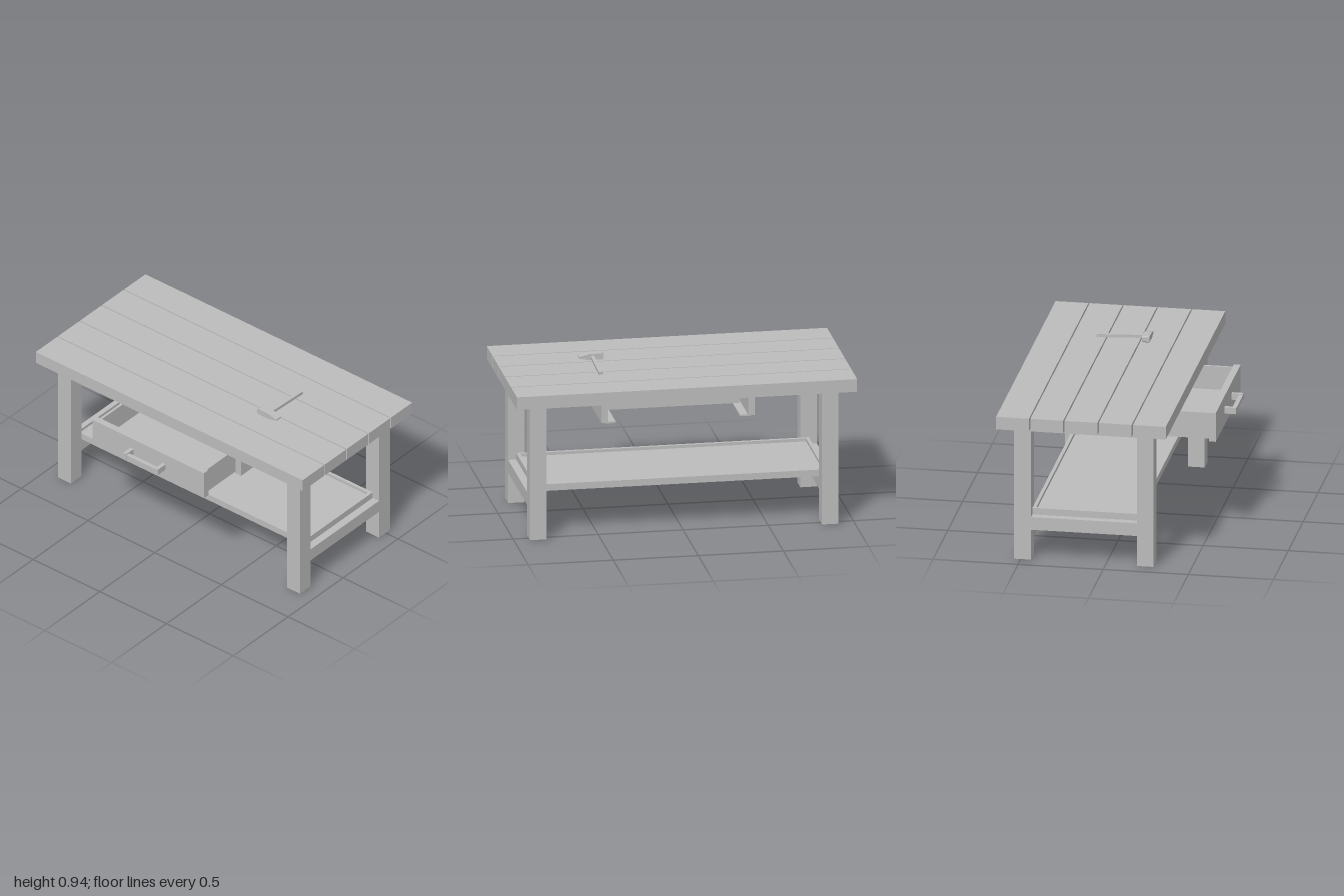
import * as THREE from 'three';

export function createModel() {
  const model = new THREE.Group();
  model.name = 'workbench';
  const grey = new THREE.MeshStandardMaterial({ color: 0xbcbcbc });
  grey.name = 'plain grey';

  // Box given by its limits on each axis
  function box(name, x0, x1, y0, y1, z0, z1, parent = model) {
    const mesh = new THREE.Mesh(new THREE.BoxGeometry(x1 - x0, y1 - y0, z1 - z0), grey);
    mesh.position.set((x0 + x1) / 2, (y0 + y1) / 2, (z0 + z1) / 2);
    mesh.name = name;
    parent.add(mesh);
    return mesh;
  }
  // Same box on both sides of x = 0
  function pair(name, x0, x1, y0, y1, z0, z1, parent = model) {
    box(name + 'Left', x0, x1, y0, y1, z0, z1, parent);
    box(name + 'Right', -x1, -x0, y0, y1, z0, z1, parent);
  }

  // Five top planks with narrow gaps
  for (let i = 0; i < 5; i++) {
    const z = 0.368 - i * 0.201;
    box('topPlank' + (i + 1), -1, 1, 0.823, 0.9, z - 0.193, z);
  }

  // Legs and the side rails joining them
  pair('frontLeg', 0.81, 0.907, 0, 0.823, 0.182, 0.28);
  pair('backLeg', 0.81, 0.907, 0, 0.823, -0.54, -0.44);
  pair('sideRail', 0.81, 0.907, 0.184, 0.262, -0.44, 0.182);

  // Tray shelf with a low rim
  const shelf = new THREE.Group();
  shelf.name = 'shelf';
  model.add(shelf);
  box('shelfPanel', -0.84, 0.84, 0.262, 0.284, -0.42, 0.162, shelf);
  pair('shelfSideRim', 0.84, 0.86, 0.262, 0.302, -0.44, 0.182, shelf);
  box('shelfFrontRim', -0.84, 0.84, 0.262, 0.302, 0.162, 0.182, shelf);
  box('shelfBackRim', -0.84, 0.84, 0.262, 0.302, -0.44, -0.42, shelf);

  // Drawer hangers under the top, with ledges carrying the drawer
  pair('drawerHanger', 0.412, 0.452, 0.623, 0.823, -0.338, 0.265);
  pair('drawerLedge', 0.365, 0.43, 0.613, 0.623, -0.32, 0.25);

  // Open drawer
  const drawer = new THREE.Group();
  drawer.name = 'drawer';
  model.add(drawer);
  box('drawerFront', -0.418, 0.418, 0.613, 0.79, 0.52, 0.56, drawer);
  pair('drawerSide', 0.386, 0.401, 0.624, 0.782, -0.1, 0.52, drawer);
  box('drawerBack', -0.386, 0.386, 0.624, 0.782, -0.1, -0.085, drawer);
  box('drawerFloor', -0.386, 0.386, 0.624, 0.64, -0.085, 0.52, drawer);
  pair('handlePost', 0.108, 0.131, 0.685, 0.723, 0.56, 0.629, drawer);
  box('handleBar', -0.108, 0.108, 0.691, 0.716, 0.602, 0.627, drawer);

  // Hammer head: blunt face on one end, wedge on the other
  const hammer = new THREE.Group();
  hammer.name = 'hammer';
  model.add(hammer);
  const profile = new THREE.Shape([
    [0.381, 0.91], [0.388, 0.904], [0.465, 0.904], [0.524, 0.917],
    [0.524, 0.926], [0.47, 0.94], [0.388, 0.942], [0.381, 0.936],
  ].map(([x, y]) => new THREE.Vector2(x, y)));
  const head = new THREE.Mesh(
    new THREE.ExtrudeGeometry(profile, { depth: 0.044, bevelEnabled: false }), grey);
  head.position.z = -0.014;
  head.name = 'hammerHead';
  hammer.add(head);

  // Hammer handle sloping down to the bench, slightly wider at the grip
  const geo = new THREE.BoxGeometry(0.019, 0.018, 0.295);
  const p = geo.attributes.position;
  for (let i = 0; i < p.count; i++) {
    if (p.getZ(i) < 0) p.setX(i, p.getX(i) * 1.25);
  }
  const handle = new THREE.Mesh(geo, grey);
  handle.position.set(0.447, 0.916, -0.143);
  handle.rotation.x = -0.04;
  handle.name = 'hammerHandle';
  hammer.add(handle);

  return model;
}
